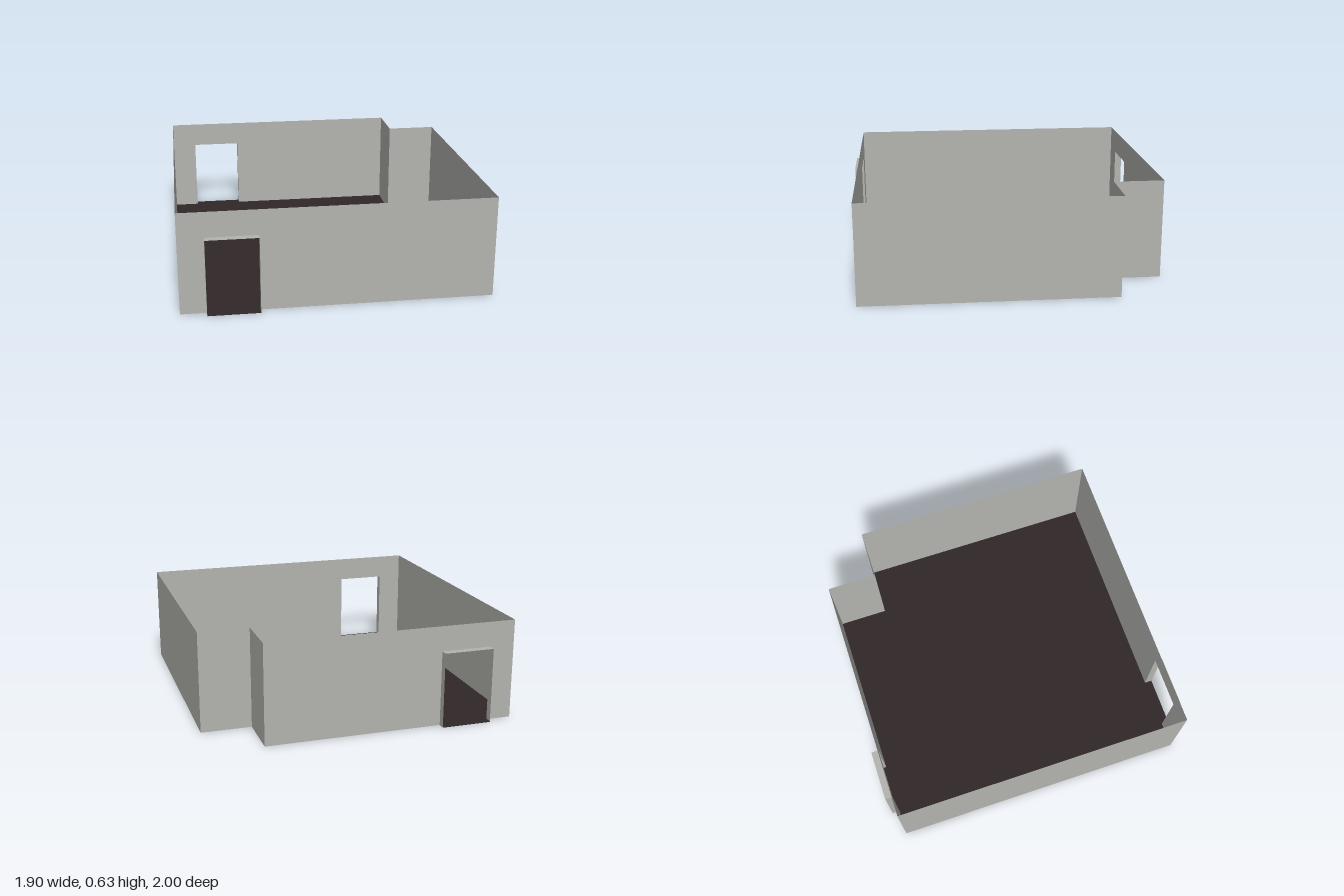
import * as THREE from 'three';

const U = 1 / 3.15;                            // plan module
const W = 3 * U, H = 2 * U;                    // wall half extent, wall height
const NX = 2 * U, NZ = -2 * U;                 // corner notch
const DL = -2.5 * U, DR = -1.5 * U, DH = 1.5 * U, DZ = 1; // doorway sides, height, outer end

export function createModel() {
  const group = new THREE.Group();
  group.name = 'room';
  const material = (name, color) => {
    const mat = new THREE.MeshStandardMaterial({ color, side: THREE.DoubleSide });
    mat.name = name;
    return mat;
  };
  const wallMat = material('wall grey', 0xb3b3af);
  const floorMat = material('floor brown', 0x302728);
  const baseMat = material('underside black', 0x292926);

  const add = (name, geometry, mat) => {
    const mesh = new THREE.Mesh(geometry, mat);
    mesh.name = name;
    group.add(mesh);
    return mesh;
  };
  const polygon = (points) =>
    new THREE.ShapeGeometry(new THREE.Shape(points.map(([x, y]) => new THREE.Vector2(x, y))));

  // Thin upright wall between two plan points (x, z)
  const wall = (name, x1, z1, x2, z2, height) => {
    const mesh = add(name, new THREE.PlaneGeometry(Math.hypot(x2 - x1, z2 - z1), height), wallMat);
    mesh.position.set((x1 + x2) / 2, height / 2, (z1 + z2) / 2);
    mesh.rotation.y = Math.atan2(z1 - z2, x2 - x1);
  };

  // Plain side walls and the stepped corner
  wall('leftWall', W, W, W, NZ, H);
  wall('notchBackWall', W, NZ, NX, NZ, H);
  wall('notchSideWall', NX, NZ, NX, -W, H);
  wall('rightWall', -W, -W, -W, W, H);

  // Front and back walls with a doorway and its projecting thin frame
  for (const [name, side, end] of [['front', 1, W], ['back', -1, NX]]) {
    const panel = polygon([[-W, 0], [DL, 0], [DL, DH], [DR, DH], [DR, 0], [end, 0], [end, H], [-W, H]]);
    add(name + 'Wall', panel, wallMat).position.z = side * W;

    for (const x of [DL, DR]) wall(name + 'DoorJamb', x, side * W, x, side * DZ, DH);
    const lintel = add(name + 'DoorLintel',
      new THREE.PlaneGeometry(DR - DL, DZ - W).rotateX(-Math.PI / 2), wallMat);
    lintel.position.set((DL + DR) / 2, DH, side * (W + DZ) / 2);
  }

  // Floor outline in plan (x, z), including both door sills
  const plan = [
    [-W, W], [DL, W], [DL, DZ], [DR, DZ], [DR, W], [W, W], [W, NZ], [NX, NZ],
    [NX, -W], [DR, -W], [DR, -DZ], [DL, -DZ], [DL, -W], [-W, -W],
  ];
  add('floor', polygon(plan.map(([x, z]) => [x, -z])).rotateX(-Math.PI / 2), floorMat).position.y = 0.004;
  add('underside', polygon(plan).rotateX(Math.PI / 2), baseMat);

  return group;
}
